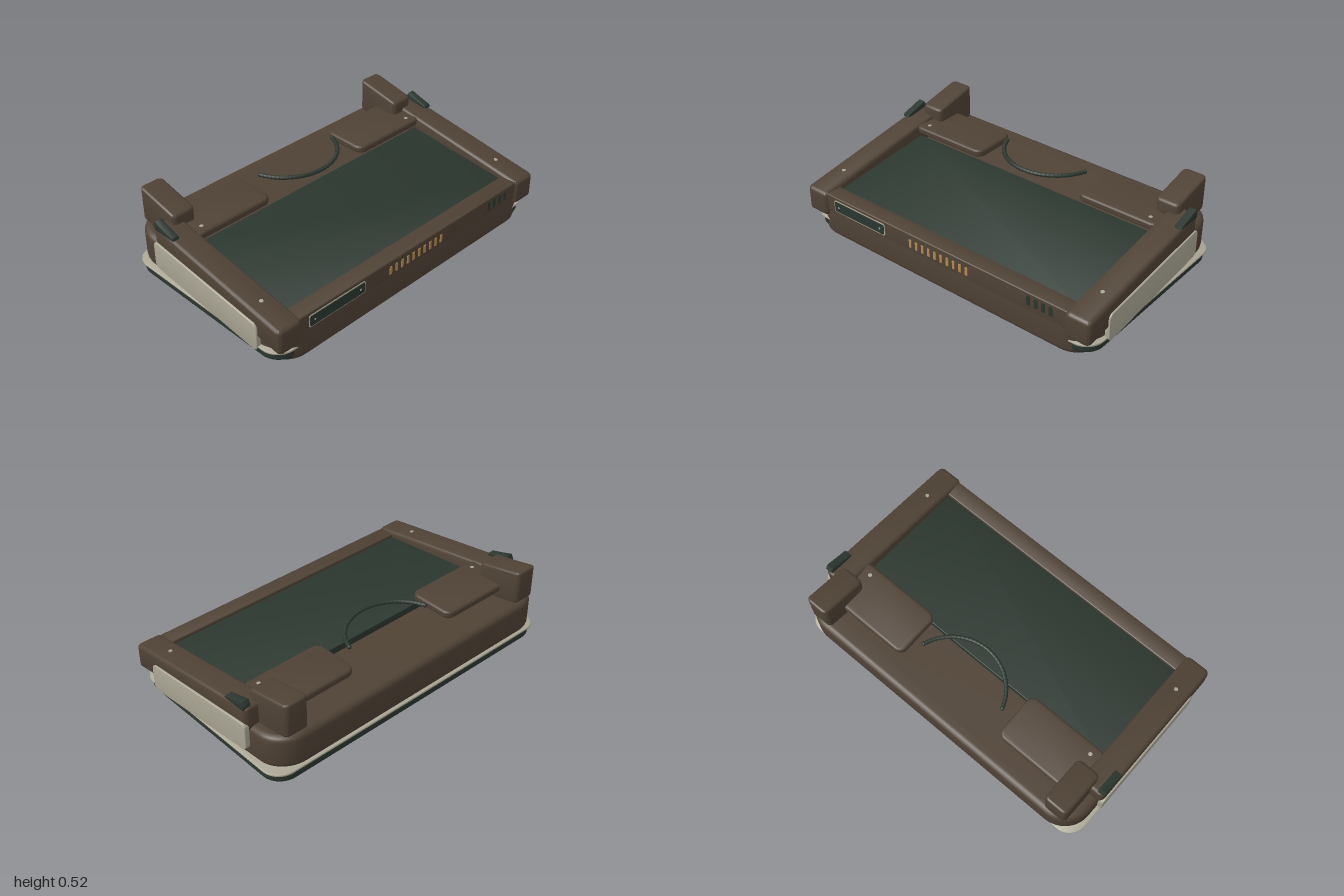
import * as THREE from 'three';
import { toCreasedNormals } from 'three/addons/utils/BufferGeometryUtils.js';

const paint = (name, color) => {
  const m = new THREE.MeshStandardMaterial({ color });
  m.name = name;
  return m;
};

function roundedRect(w, h, r) {
  const s = new THREE.Shape(), x = w / 2, y = h / 2;
  s.moveTo(-x + r, -y);
  s.lineTo(x - r, -y);
  s.absarc(x - r, -y + r, r, -Math.PI / 2, 0);
  s.lineTo(x, y - r);
  s.absarc(x - r, y - r, r, 0, Math.PI / 2);
  s.lineTo(-x + r, y);
  s.absarc(-x + r, y - r, r, Math.PI / 2, Math.PI);
  s.lineTo(-x, -y + r);
  s.absarc(-x + r, -y + r, r, Math.PI, Math.PI * 1.5);
  return s;
}

// Centred extrusion with softened edges that keeps its outer size
function solid(shape, depth, bevel) {
  const g = new THREE.ExtrudeGeometry(shape, {
    depth: depth - 2 * bevel, bevelEnabled: bevel > 0, bevelSize: bevel, bevelThickness: bevel,
    bevelOffset: -bevel, bevelSegments: 4, curveSegments: 8,
  });
  return g.center();
}

// Slopes a geometry so that it rises towards the back
function rise(g, slope) {
  const p = g.attributes.position;
  for (let i = 0; i < p.count; i++) p.setY(i, p.getY(i) - slope * p.getZ(i));
  return toCreasedNormals(g, 0.6);
}

// Lying plate: width, depth, height, corner radius, edge bevel, slope
const slab = (w, d, h, r, bevel, slope = 0) =>
  rise(solid(roundedRect(w, d, r), h, bevel).rotateX(-Math.PI / 2), slope);

export function createModel() {
  const model = new THREE.Group();
  const brown = paint('brown shell', 0x4f4235);
  const green = paint('dark green', 0x2b372f);
  const ivory = paint('pale grey', 0xaaa694);
  const gold = paint('gold', 0xb58a4c);

  const add = (name, geo, mat, x, y, z) => {
    const m = new THREE.Mesh(geo, mat);
    m.name = name;
    m.position.set(x, y, z);
    model.add(m);
    return m;
  };

  // Base tray, pale seam and feet
  add('baseTray', slab(1.96, 1.15, 0.06, 0.12, 0.02), green, 0, 0.065, -0.005);
  add('baseTrim', slab(1.98, 1.165, 0.012, 0.11, 0.004), ivory, 0, 0.096, -0.005);
  const footProfile = [[0, 0], [0.055, 0], [0.066, 0.006], [0.07, 0.015], [0.07, 0.04]]
    .map(([x, y]) => new THREE.Vector2(x, y));
  const foot = toCreasedNormals(new THREE.LatheGeometry(footProfile, 28), 0.6);
  for (const x of [-0.79, 0.79]) for (const z of [0.42, -0.435]) add('foot', foot, green, x, 0, z);

  // Sloping body, deck and front bar
  add('body', slab(1.94, 1.185, 0.2, 0.17, 0.035, 0.095), brown, 0, 0.164, -0.0075);
  add('deck', slab(1.7, 0.69, 0.06, 0.01, 0.003, 0.095), green, 0, 0.259, 0.155);
  add('frontBar', slab(1.7, 0.1, 0.11, 0.01, 0.006), brown, 0, 0.222, 0.535);

  // Front plate with a pale border and two screws
  add('platBorder', solid(roundedRect(0.395, 0.075, 0.012), 0.004, 0), ivory, -0.585, 0.222, 0.586).name = 'plateBorder';
  add('frontPlate', solid(roundedRect(0.383, 0.063, 0.009), 0.006, 0), green, -0.585, 0.222, 0.587);
  const screw = new THREE.CylinderGeometry(0.011, 0.011, 0.008, 16);
  const pin = new THREE.CylinderGeometry(0.006, 0.006, 0.008, 12).rotateX(Math.PI / 2);
  for (const x of [-0.745, -0.425]) add('plateScrew', pin, ivory, x, 0.222, 0.588);

  // Gold contacts and dark vents
  const contact = new THREE.BoxGeometry(0.016, 0.05, 0.008);
  for (let i = 0; i < 10; i++) add('contact', contact, gold, -0.198 + i * 0.044, 0.219, 0.585);
  const vent = new THREE.BoxGeometry(0.022, 0.055, 0.008);
  for (let i = 0; i < 4; i++) add('vent', vent, green, 0.605 + i * 0.047, 0.231, 0.585);

  // Parts mirrored on both sides
  const rail = slab(0.155, 0.967, 0.148, 0.03, 0.02, 0.147);
  const panel = rise(solid(roundedRect(0.806, 0.168, 0.03), 0.03, 0.005).rotateY(Math.PI / 2), 0.108);
  const post = slab(0.145, 0.288, 0.2, 0.03, 0.015, 0.205);
  const flap = slab(0.52, 0.29, 0.045, 0.05, 0.014);
  // Latch outline runs along -z, then up
  const latchShape = new THREE.Shape();
  latchShape.moveTo(0, 0);
  latchShape.lineTo(0.15, 0);
  latchShape.lineTo(0.158, 0.03);
  latchShape.lineTo(0.142, 0.056);
  latchShape.lineTo(0.07, 0.034);
  latchShape.lineTo(0.005, 0.016);
  latchShape.closePath();
  const latch = toCreasedNormals(solid(latchShape, 0.045, 0.005).rotateY(Math.PI / 2), 0.6);
  for (const s of [-1, 1]) {
    add('sideRail', rail, brown, s * 0.9125, 0.276, 0.1165);
    add('sidePanel', panel, ivory, s * 0.985, 0.199, 0.037);
    add('rearPost', post, brown, s * 0.8375, 0.395, -0.436);
    add('rearFlap', flap, brown, s * 0.605, 0.3675, -0.31);
    add('latch', latch, green, s * 0.968, 0.427, -0.28);
    add('flapScrew', screw, ivory, s * 0.79, 0.388, -0.22);
    add('railScrew', screw, ivory, s * 0.91, 0.3105, 0.385).rotation.x = 0.146;
  }

  // Curved carrying handle with fine ribs
  const half = 1.24, r = 0.296, points = [];
  for (let i = 0; i <= 16; i++) {
    const a = -half + (2 * half * i) / 16;
    points.push(new THREE.Vector3(r * Math.sin(a), 0, r * Math.cos(a)));
  }
  const arc = new THREE.CatmullRomCurve3(points);
  add('handle', new THREE.TubeGeometry(arc, 48, 0.011, 12), green, 0, 0.42, -0.431);
  const rib = new THREE.TorusGeometry(0.0105, 0.003, 6, 12);
  for (let i = 0; i <= 32; i++) {
    const a = -half + (2 * half * i) / 32;
    add('handleRib', rib, green, r * Math.sin(a), 0.42, -0.431 + r * Math.cos(a)).rotation.y = a + Math.PI / 2;
  }
  const cap = new THREE.SphereGeometry(0.0125, 12, 8);
  for (const s of [-1, 1])
    add('handleEnd', cap, green, s * r * Math.sin(half), 0.42, -0.431 + r * Math.cos(half));

  return model;
}
